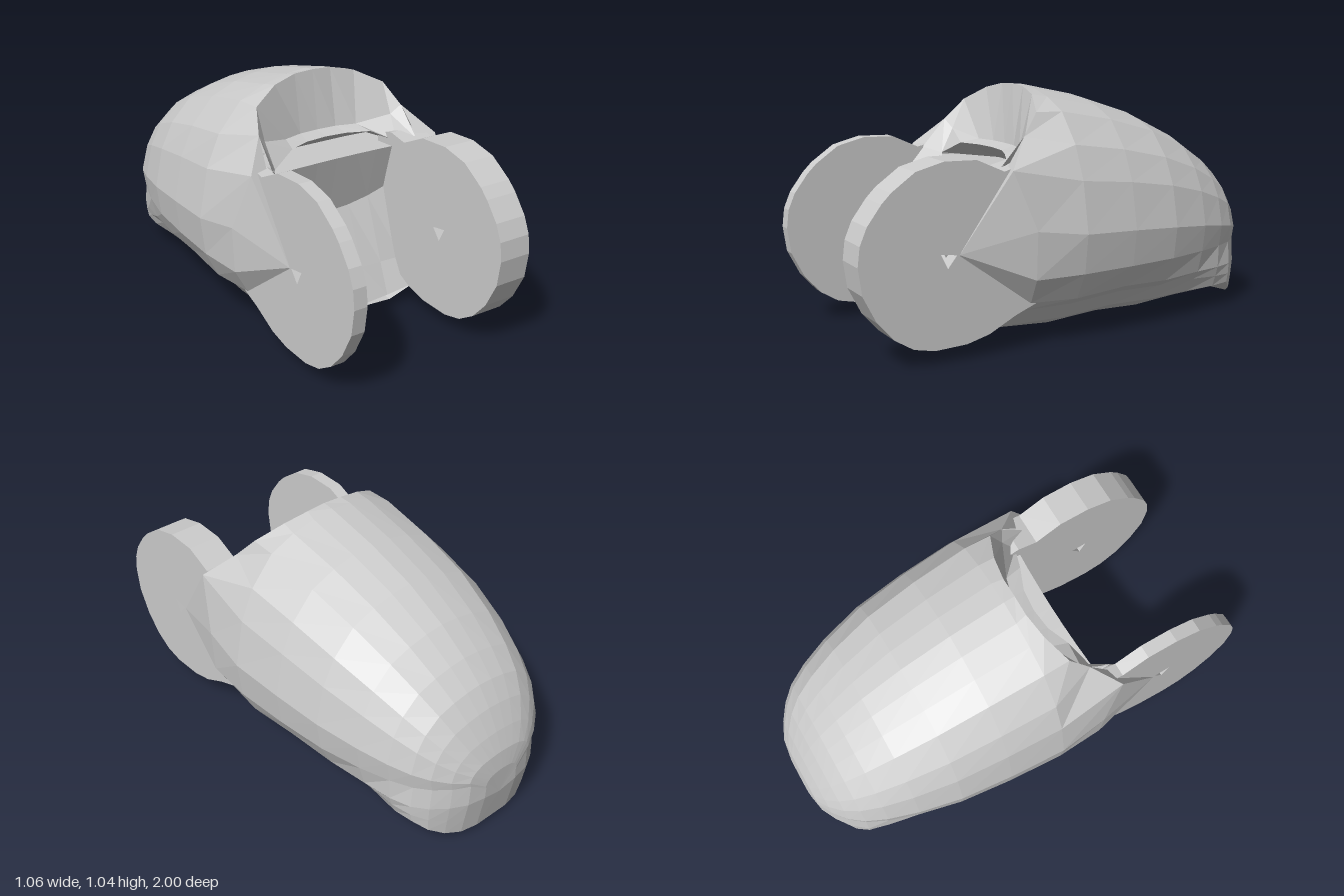
import * as THREE from 'three';

const grey = new THREE.MeshStandardMaterial({ color: 0xcccccc, flatShading: true, side: THREE.DoubleSide });
grey.name = 'light grey';

function meshFrom(name, points) {
  const g = new THREE.BufferGeometry();
  g.setAttribute('position', new THREE.Float32BufferAttribute(points.flat(), 3));
  g.computeVertexNormals();
  const m = new THREE.Mesh(g, grey);
  m.name = name;
  return m;
}

// Triangles joining neighbouring rows of points
function loft(rows, closed) {
  const out = [];
  for (let r = 0; r + 1 < rows.length; r++) {
    const A = rows[r], B = rows[r + 1], n = A.length;
    for (let i = 0; i < (closed ? n : n - 1); i++) {
      const j = (i + 1) % n;
      out.push(A[i], B[i], B[j], A[i], B[j], A[j]);
    }
  }
  return out;
}

const flip = ([x, y, z]) => [-x, y, z];
// Half section from crown to keel, mirrored into a closed ring
const ring = half => [...half, ...half.slice(1, -1).reverse().map(flip)];
// Half row from the middle outwards, mirrored into an open row
const row = half => [...half.slice(1).reverse().map(flip), ...half];

// Upper section points: fraction of half width, fraction of height above the waist
const UPPER = [[0, 1], [0.19, 0.985], [0.39, 0.95], [0.61, 0.88], [0.81, 0.71], [0.925, 0.52], [1, 0.23], [0.96, 0]];
// Lower section points: fraction of half width, height
const LOWER = [[0.85, 0.2], [0.75, 0.165], [0.63, 0.09], [0.4, 0.035], [0, 0.015]];
// The tail ends in straight walls and a flat bottom
const TAIL_LOWER = [[0.99, 0.2], [0.98, 0.15], [0.96, 0.11], [0.55, 0.06], [0, 0.03]];

// z, half width, crown height, keel drop
const SECTIONS = [
  [-1, 0.09, 0.31, 0], [-0.985, 0.17, 0.39, 0], [-0.95, 0.24, 0.47, 0], [-0.9, 0.305, 0.56, 0],
  [-0.84, 0.355, 0.64, 0], [-0.75, 0.4, 0.72, 0], [-0.62, 0.445, 0.81, 0],
  [-0.43, 0.49, 0.905, 0.01], [-0.2, 0.515, 0.98, 0], [0.05, 0.53, 1.035, 0.015],
];

function section([z, w, top, drop]) {
  const { clamp, lerp } = THREE.MathUtils;
  const waist = Math.min(0.3, top - 0.06);
  const blend = clamp((-0.5 - z) / 0.35, 0, 1); // flank to tail
  const sink = clamp((-0.84 - z) / 0.13, 0, 1); // tail floor drops towards the end
  const lower = LOWER.map(([fx, y], i) => {
    const [tx, ty] = TAIL_LOWER[i];
    const h = lerp(lerp(y, ty, blend), 0.2 - 0.18 * Math.min(1, i / 2), sink);
    return [lerp(fx, tx, blend) * w, h - drop, z + sink * (0.2 - h) * 0.17];
  });
  return [...UPPER.map(([fx, fy]) => [fx * w, waist + fy * (top - waist), z]), ...lower];
}

// Front rim of the shell: sloping brow, cheek, lower lip
const RIM = [
  [0, 1.04, 0.1], [0.09, 1.035, 0.1], [0.2, 1.01, 0.12], [0.32, 0.95, 0.17], [0.36, 0.86, 0.25],
  [0.465, 0.745, 0.36], [0.505, 0.5, 0.27], [0.495, 0.3, 0.27], [0.43, 0.19, 0.26],
  [0.39, 0.15, 0.3], [0.33, 0.08, 0.42], [0.2, 0.04, 0.42], [0, 0.03, 0.39],
];

function makeShell() {
  const rings = [...SECTIONS.map(section), RIM].map(ring);
  const tris = loft(rings, true);
  // Close the tail
  const tail = rings[0];
  tail.forEach((p, i) => tris.push([0, 0.18, -0.997], p, tail[(i + 1) % tail.length]));
  return meshFrom('shell', tris);
}

// Brow, ledge, wedge-shaped slot and folded panel between the discs
function makeFront() {
  const X = [0, 0.1, 0.2, 0.31, 0.36];
  const level = (y, z, bow, lift = 0) => X.map(x => [x, y + lift * x * x, z + bow * x * x]);
  const brow = [[0, 0.785, 0.14], [0.09, 0.785, 0.145], [0.18, 0.785, 0.17], [0.32, 0.82, 0.23], [0.36, 0.86, 0.25]];
  const ledge = [[0, 0.77, 0.2], [0.1, 0.77, 0.21], [0.2, 0.77, 0.25], [0.31, 0.715, 0.29], [0.36, 0.74, 0.36]];
  const rows = [
    RIM.slice(0, 5), brow, ledge,
    level(0.69, 0.06, 0), level(0.7, 0.29, 0.1),
    level(0.44, 0.23, 0.2, 0.7), level(0.19, 0.34, 0.1),
    level(0.035, 0.39, 0.25, 0.4),
  ];
  return meshFrom('frontPanel', loft(rows.map(row), false));
}

// Cheeks tapering from the shell onto the disc, outside and inside
function makeCheek(side, innerX) {
  const tris = [];
  const fan = (apex, pts) => {
    for (let i = 0; i + 1 < pts.length; i++) {
      const t = [apex, pts[i + 1], pts[i]];
      tris.push(...(side > 0 ? t : t.map(flip).reverse()));
    }
  };
  fan([0.432, 0.43, 0.58], RIM.slice(4, 11));
  fan([innerX, 0.43, 0.62], [[0.32, 0.08, 0.42], [0.33, 0.5, 0.25], [0.31, 0.7, 0.29], [0.36, 0.86, 0.25]]);
  return meshFrom(side > 0 ? 'leftCheek' : 'rightCheek', tris);
}

// Disc outline as z, y, running back into the shell
const DISC = [
  [1, 0.43], [0.985, 0.32], [0.93, 0.21], [0.86, 0.13], [0.78, 0.08], [0.69, 0.06], [0.55, 0.065],
  [0.45, 0.09], [0.33, 0.15], [0.2, 0.2], [0.2, 0.74], [0.29, 0.76], [0.38, 0.74], [0.5, 0.795],
  [0.64, 0.8], [0.76, 0.77], [0.86, 0.7], [0.9, 0.66], [0.96, 0.58], [0.99, 0.51],
];
const HOLE = [[0.66, 0.44], [0.59, 0.43], [0.63, 0.38]];

function makeDisc(name, minX, maxX) {
  const toPoints = list => list.map(([z, y]) => new THREE.Vector2(z, y));
  const shape = new THREE.Shape(toPoints(DISC));
  shape.holes.push(new THREE.Path(toPoints(HOLE)));
  const g = new THREE.ExtrudeGeometry(shape, { depth: maxX - minX, bevelEnabled: false });
  g.rotateY(-Math.PI / 2);
  g.translate(maxX, 0, 0);
  const m = new THREE.Mesh(g, grey);
  m.name = name;
  return m;
}

export function createModel() {
  const model = new THREE.Group();
  model.name = 'discNosedShell';
  model.add(
    makeShell(), makeFront(),
    makeDisc('leftDisc', 0.28, 0.43), makeDisc('rightDisc', -0.43, -0.37),
    makeCheek(1, 0.37), makeCheek(-1, 0.37),
  );
  return model;
}
